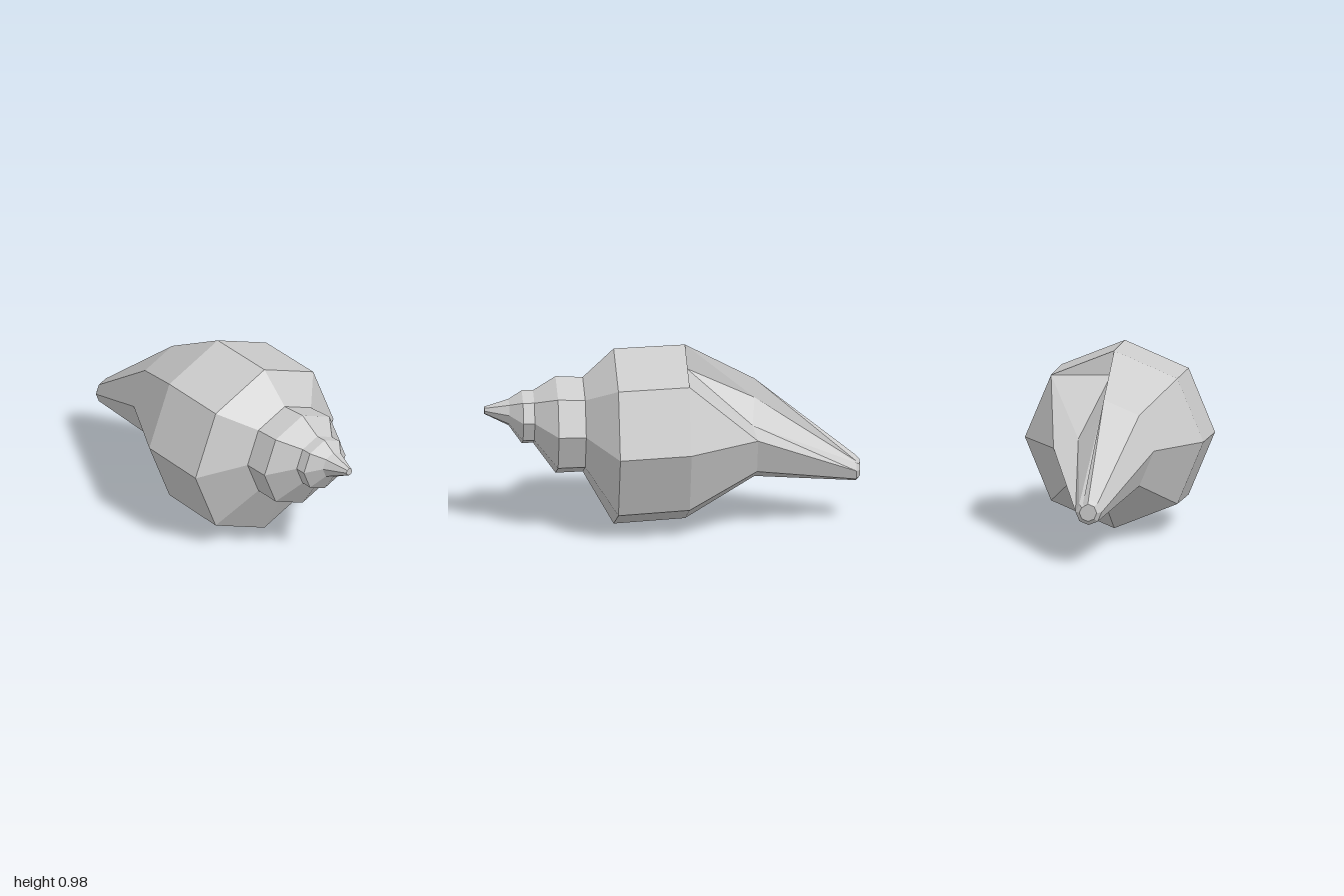
import * as THREE from 'three';

const SIDES = 8;

// Octagonal ring, clockwise from the top when seen from the front
function ring(z, y, r) {
  return Array.from({ length: SIDES }, (_, i) => {
    const a = (i / SIDES) * Math.PI * 2;
    return [r * Math.sin(a), y + r * Math.cos(a), z];
  });
}

// Ring cut by the mouth: a groove point after the ridge and a moved lip point
function mouthRing(z, y, r, groove, lip) {
  const p = ring(z, y, r);
  return [p[0], groove, lip, ...p.slice(2)];
}

// Triangles between neighbouring rings, running front to back
function loft(rings) {
  const tris = [];
  for (let i = 0; i < rings.length - 1; i++) {
    const a = rings[i], b = rings[i + 1], n = a.length;
    for (let j = 0; j < n; j++) {
      const k = (j + 1) % n;
      tris.push(a[j], a[k], b[k], a[j], b[k], b[j]);
    }
  }
  return tris;
}

function cap(points, front) {
  const tris = [];
  for (let k = 1; k < points.length - 1; k++) {
    if (front) tris.push(points[0], points[k + 1], points[k]);
    else tris.push(points[0], points[k], points[k + 1]);
  }
  return tris;
}

function part(name, tris, material) {
  const geometry = new THREE.BufferGeometry();
  geometry.setAttribute('position', new THREE.Float32BufferAttribute(tris.flat(), 3));
  geometry.computeVertexNormals();
  const mesh = new THREE.Mesh(geometry, material);
  mesh.name = name;
  return mesh;
}

export function createModel() {
  const group = new THREE.Group();
  group.name = 'conchShell';
  const material = new THREE.MeshStandardMaterial({ color: 0xcccccc, flatShading: true });

  // Stepped spire, from the apex to the shoulder: z, centre height, radius
  const spire = [
    [1.0, 0.645, 0.02],
    [0.87, 0.632, 0.073],
    [0.8, 0.605, 0.146],
    [0.74, 0.605, 0.145],
    [0.62, 0.558, 0.267],
    [0.475, 0.556, 0.261],
    [0.31, 0.487, 0.484],
  ].map((s) => ring(...s));
  group.add(part('spire', [...cap(spire[0], true), ...loft(spire)], material));

  // Widest whorl
  const rear = ring(-0.07, 0.505, 0.48);
  group.add(part('bodyWhorl', loft([spire[6], rear]), material));

  // Tapering canal with the mouth folded in beside the top ridge
  const canal = [
    mouthRing(-0.07, 0.505, 0.48, [0.015, 0.855, -0.08], rear[1]),
    mouthRing(-0.44, 0.52, 0.27, [0.02, 0.69, -0.44], [0.14, 0.57, -0.42]),
    mouthRing(-0.98, 0.285, 0.07, [0.03, 0.33, -0.98], [0.05, 0.325, -0.98]),
    mouthRing(-1.0, 0.285, 0.047, [0.018, 0.315, -1], [0.033, 0.312, -1]),
  ];
  group.add(part('canal', [...loft(canal), ...cap(canal[3], false)], material));

  // Upright wall closing the front of the mouth
  const [ridge, groove, lip] = canal[0];
  group.add(part('mouthWall', [ridge, lip, groove], material));

  return group;
}
